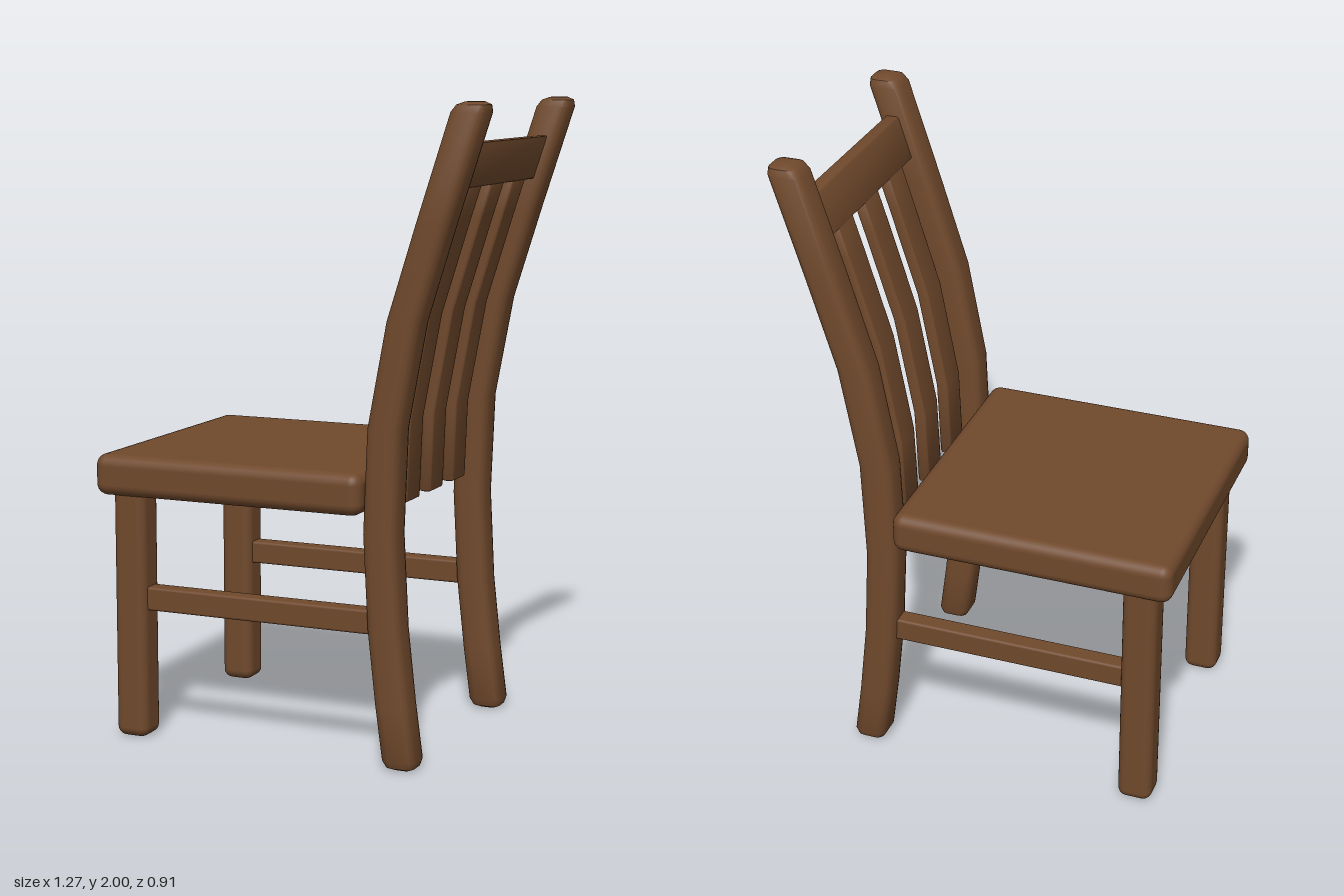
import * as THREE from 'three';
import { toCreasedNormals } from 'three/addons/utils/BufferGeometryUtils.js';
import { RoundedBoxGeometry } from 'three/addons/geometries/RoundedBoxGeometry.js';

// Centre line of the curved back: [height, x]
const BACK = [[0, 0.375], [0.2, 0.348], [0.43, 0.323], [0.72, 0.308], [1.04, 0.321],
  [1.36, 0.381], [1.65, 0.472], [2, 0.586]];

function backX(y) {
  const i = Math.min(Math.max(BACK.findIndex(p => p[0] >= y), 1), BACK.length - 1);
  const [y0, x0] = BACK[i - 1], [y1, x1] = BACK[i];
  return x0 + (x1 - x0) * (y - y0) / (y1 - y0);
}

// Rounded rectangle bar following the back curve from y0 to y1, with softened ends
function backBar(y0, y1, halfX, halfZ, r) {
  const rings = [[y0, r], [y0 + r * 0.3, r * 0.3], [y0 + r, 0]];
  for (const [y] of BACK) if (y > y0 + r + 0.02 && y < y1 - r - 0.02) rings.push([y, 0]);
  rings.push([y1 - r, 0], [y1 - r * 0.3, r * 0.3], [y1, r]);

  const pos = [], idx = [], n = 16;
  for (const [y, inset] of rings) {
    const k = r - inset * 0.7;
    for (let c = 0; c < 4; c++) for (let s = 0; s < 4; s++) {
      const a = (c + s / 3) * Math.PI / 2, m = (c + 0.5) * Math.PI / 2;
      pos.push(
        backX(y) + Math.sign(Math.cos(m)) * (halfX - inset - k) + Math.cos(a) * k,
        y,
        -Math.sign(Math.sin(m)) * (halfZ - inset - k) - Math.sin(a) * k);
    }
  }
  const top = (rings.length - 1) * n, low = pos.length / 3;
  pos.push(backX(y0), y0, 0, backX(y1), y1, 0);
  for (let j = 0; j < n; j++) {
    const k = (j + 1) % n;
    for (let i = 0; i < top; i += n) idx.push(i + j, i + k, i + n + k, i + j, i + n + k, i + n + j);
    idx.push(low, k, j, low + 1, top + j, top + k);
  }
  const g = new THREE.BufferGeometry();
  g.setAttribute('position', new THREE.Float32BufferAttribute(pos, 3));
  g.setIndex(idx);
  return toCreasedNormals(g, 0.7);
}

export function createModel() {
  const chair = new THREE.Group();
  chair.name = 'chair';
  const wood = new THREE.MeshStandardMaterial({ color: 0x70492c });
  wood.name = 'brown wood';

  const add = (name, geometry, x = 0, y = 0, z = 0) => {
    const mesh = new THREE.Mesh(geometry, wood);
    mesh.name = name;
    mesh.position.set(x, y, z);
    chair.add(mesh);
  };

  add('seat', new RoundedBoxGeometry(0.9, 0.13, 0.91, 3, 0.036), -0.19, 0.84, 0);

  // Legs, posts and side stretchers, mirrored
  const post = backBar(0, 2, 0.054, 0.055, 0.03);
  const leg = new RoundedBoxGeometry(0.11, 0.81, 0.11, 3, 0.03);
  const stretcher = new RoundedBoxGeometry(0.82, 0.075, 0.06, 2, 0.008);
  for (const [side, s] of [['left', 1], ['right', -1]]) {
    add(side + 'BackPost', post, 0, 0, s * 0.373);
    add(side + 'FrontLeg', leg, -0.535, 0.405, s * 0.373);
    add(side + 'Stretcher', stretcher, -0.1, 0.448, s * 0.373);
  }

  // Back rest
  add('topRail', backBar(1.745, 1.88, 0.021, 0.34, 0.005));
  const slat = backBar(0.79, 1.77, 0.019, 0.055, 0.008);
  [-0.193, 0, 0.193].forEach((z, i) => add('backSlat' + (i + 1), slat, 0, 0, z));

  return chair;
}
